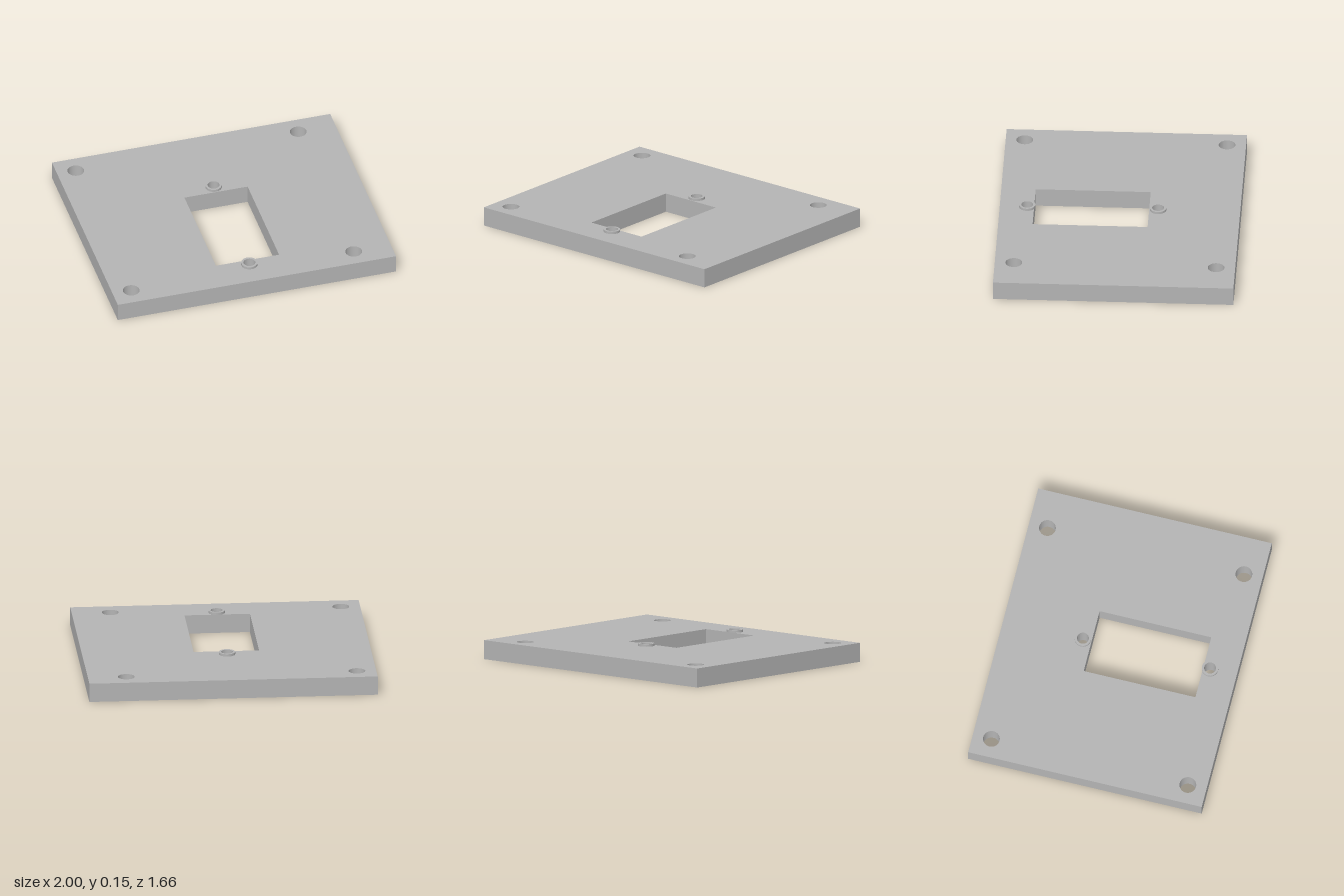
import * as THREE from 'three';

const PLATE_HEIGHT = 0.133;
const BOSS_HEIGHT = 0.017;
const BOSS_RADIUS = 0.057;
const BORE_RADIUS = 0.041;
const BOSS_Z = [-0.264, 0.642];

// Circular path in plan; plan y is -z
function circle(x, z, radius, PathType = THREE.Path) {
  return new PathType().absarc(x, -z, radius, 0, Math.PI * 2);
}

// Raises a plan shape into a flat solid lying on y = 0
function raise(shape, depth) {
  const geometry = new THREE.ExtrudeGeometry(shape, { depth, bevelEnabled: false, curveSegments: 24 });
  return geometry.rotateX(-Math.PI / 2);
}

function rectangle(x0, x1, z0, z1, PathType) {
  const path = new PathType();
  path.moveTo(x0, -z1);
  path.lineTo(x1, -z1);
  path.lineTo(x1, -z0);
  path.lineTo(x0, -z0);
  path.closePath();
  return path;
}

export function createModel() {
  const group = new THREE.Group();
  group.name = 'mountingPlate';
  const grey = new THREE.MeshStandardMaterial({ color: 0xb3b3b3 });
  grey.name = 'grey';

  // Plate with a window, four corner holes and two bores
  const outline = rectangle(-1, 1, -0.832, 0.832, THREE.Shape);
  outline.holes.push(rectangle(-0.227, 0.227, -0.202, 0.594, THREE.Path));
  for (const x of [-0.866, 0.733]) {
    for (const z of [-0.7, 0.7]) outline.holes.push(circle(x, z, 0.058));
  }
  for (const z of BOSS_Z) outline.holes.push(circle(0, z, BORE_RADIUS));
  const plate = new THREE.Mesh(raise(outline, PLATE_HEIGHT), grey);
  plate.name = 'plate';
  group.add(plate);

  // Raised ring around each bore
  const ring = circle(0, 0, BOSS_RADIUS, THREE.Shape);
  ring.holes.push(circle(0, 0, BORE_RADIUS));
  const ringGeometry = raise(ring, BOSS_HEIGHT);
  BOSS_Z.forEach((z, i) => {
    const boss = new THREE.Mesh(ringGeometry, grey);
    boss.name = i === 0 ? 'backBoss' : 'frontBoss';
    boss.position.set(0, PLATE_HEIGHT, z);
    group.add(boss);
  });

  return group;
}
